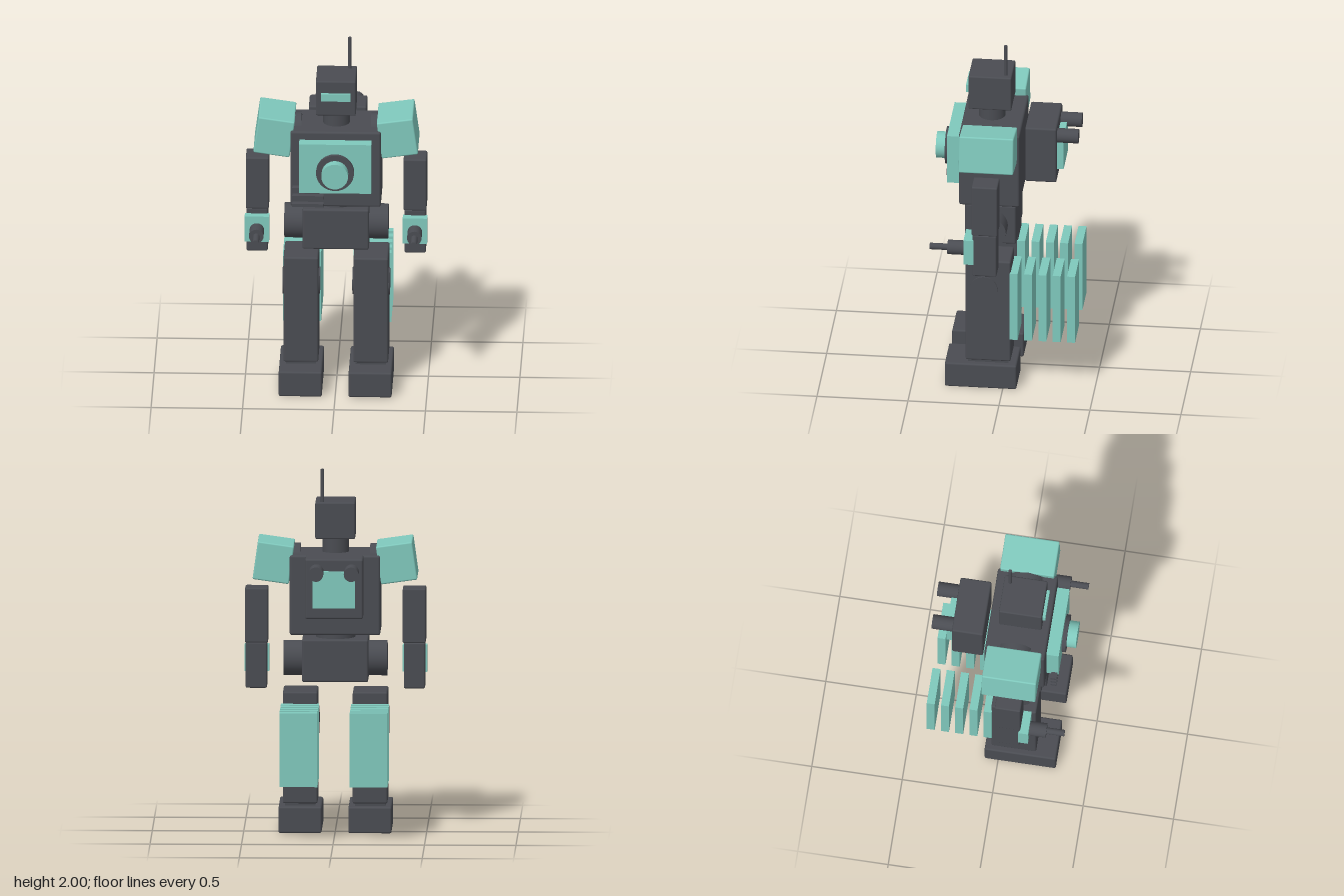
import * as THREE from 'three';
import { RoundedBoxGeometry } from 'three/addons/geometries/RoundedBoxGeometry.js';

const dark = new THREE.MeshStandardMaterial({ color: 0x4a4c52 });
dark.name = 'darkArmour';
const teal = new THREE.MeshStandardMaterial({ color: 0x7fc8bc });
teal.name = 'tealArmour';

function add(parent, name, geometry, material, x, y, z) {
  const mesh = new THREE.Mesh(geometry, material);
  mesh.name = name;
  mesh.position.set(x, y, z);
  parent.add(mesh);
  return mesh;
}

// Sharp block, or softly bevelled block when r > 0
function block(parent, name, material, [w, h, d], [x, y, z], r = 0) {
  const geometry = r ? new RoundedBoxGeometry(w, h, d, 2, r) : new THREE.BoxGeometry(w, h, d);
  return add(parent, name, geometry, material, x, y, z);
}

// Cylinder lying along the chosen axis
function rod(parent, name, material, radius, length, axis, [x, y, z]) {
  const geometry = new THREE.CylinderGeometry(radius, radius, length, 32);
  if (axis === 'x') geometry.rotateZ(Math.PI / 2);
  if (axis === 'z') geometry.rotateX(Math.PI / 2);
  return add(parent, name, geometry, material, x, y, z);
}

function buildHead() {
  const head = new THREE.Group();
  head.name = 'head';
  rod(head, 'neck', dark, 0.073, 0.12, 'y', [0, 1.575, 0.09]);
  block(head, 'skull', dark, [0.218, 0.202, 0.236], [0, 1.718, 0.092], 0.008);
  block(head, 'visor', teal, [0.162, 0.043, 0.03], [0, 1.729, 0.211]);
  rod(head, 'antenna', dark, 0.0095, 0.2, 'y', [0.07, 1.9, 0.009]);
  return head;
}

function buildTorso() {
  const torso = new THREE.Group();
  torso.name = 'torso';
  block(torso, 'chest', dark, [0.495, 0.44, 0.332], [0, 1.315, 0.081], 0.012);
  block(torso, 'chestPlate', teal, [0.395, 0.287, 0.068], [0, 1.347, 0.284]);
  rod(torso, 'reactorRing', dark, 0.104, 0.04, 'z', [0, 1.331, 0.321]);
  rod(torso, 'reactorCore', teal, 0.073, 0.075, 'z', [0, 1.331, 0.356]);

  // Vent bars at the lower right of the chest
  for (let i = 0; i < 3; i++) {
    block(torso, 'ventBar', dark, [0.17, 0.018, 0.034], [-0.15, 1.127 + i * 0.047, 0.295]);
  }
  rod(torso, 'waist', dark, 0.108, 0.06, 'y', [0, 1.08, 0.081]);
  block(torso, 'pelvis', dark, [0.362, 0.234, 0.28], [0, 0.949, 0.081], 0.01);
  rod(torso, 'hipAxle', dark, 0.096, 0.567, 'x', [0, 0.948, 0.081]);
  return torso;
}

function buildBackpack() {
  const pack = new THREE.Group();
  pack.name = 'backpack';
  block(pack, 'packBody', dark, [0.316, 0.33, 0.172], [0, 1.378, -0.193], 0.01);
  block(pack, 'packPlate', teal, [0.232, 0.2, 0.045], [0, 1.378, -0.292]);
  for (const side of [-1, 1]) {
    rod(pack, 'thruster', dark, 0.04, 0.16, 'z', [side * 0.096, 1.476, -0.315]);
  }
  return pack;
}

function buildArm(side) {
  const arm = new THREE.Group();
  arm.name = side > 0 ? 'leftArm' : 'rightArm';
  rod(arm, 'shoulderJoint', dark, 0.1, 0.12, 'x', [side * 0.25, 1.481, 0.08]);
  const pad = block(arm, 'shoulderPad', teal, [0.2, 0.21, 0.3], [side * 0.337, 1.492, 0.078], 0.008);
  pad.rotation.z = side * 0.14;
  block(arm, 'upperArm', dark, [0.126, 0.3, 0.142], [side * 0.431, 1.189, 0.081], 0.008);
  block(arm, 'forearm', dark, [0.116, 0.252, 0.132], [side * 0.432, 0.914, 0.081], 0.008);
  block(arm, 'gunMount', teal, [0.134, 0.148, 0.054], [side * 0.432, 0.936, 0.168]);
  rod(arm, 'gunBody', dark, 0.04, 0.1, 'z', [side * 0.432, 0.931, 0.238]);
  rod(arm, 'gunBarrel', dark, 0.018, 0.11, 'z', [side * 0.432, 0.931, 0.332]);
  return arm;
}

function buildLeg(side) {
  const leg = new THREE.Group();
  leg.name = side > 0 ? 'leftLeg' : 'rightLeg';
  const x = side * 0.191;
  block(leg, 'foot', dark, [0.236, 0.145, 0.394], [x, 0.0725, 0.122], 0.01);
  block(leg, 'ankle', dark, [0.165, 0.05, 0.22], [x, 0.152, 0.083]);
  block(leg, 'shin', dark, [0.19, 0.616, 0.248], [x, 0.467, 0.083], 0.01);
  rod(leg, 'kneeDisc', dark, 0.075, 0.204, 'x', [x, 0.604, 0.106]);

  // Row of radiator fins behind the leg
  for (let i = 0; i < 5; i++) {
    block(leg, 'radiatorFin', teal, [0.208, 0.408, 0.044], [side * 0.192, 0.506, -0.059 - i * 0.0788]);
  }
  return leg;
}

export function createModel() {
  const robot = new THREE.Group();
  robot.name = 'robot';
  robot.add(buildHead(), buildTorso(), buildBackpack());
  for (const side of [-1, 1]) robot.add(buildArm(side), buildLeg(side));
  return robot;
}
